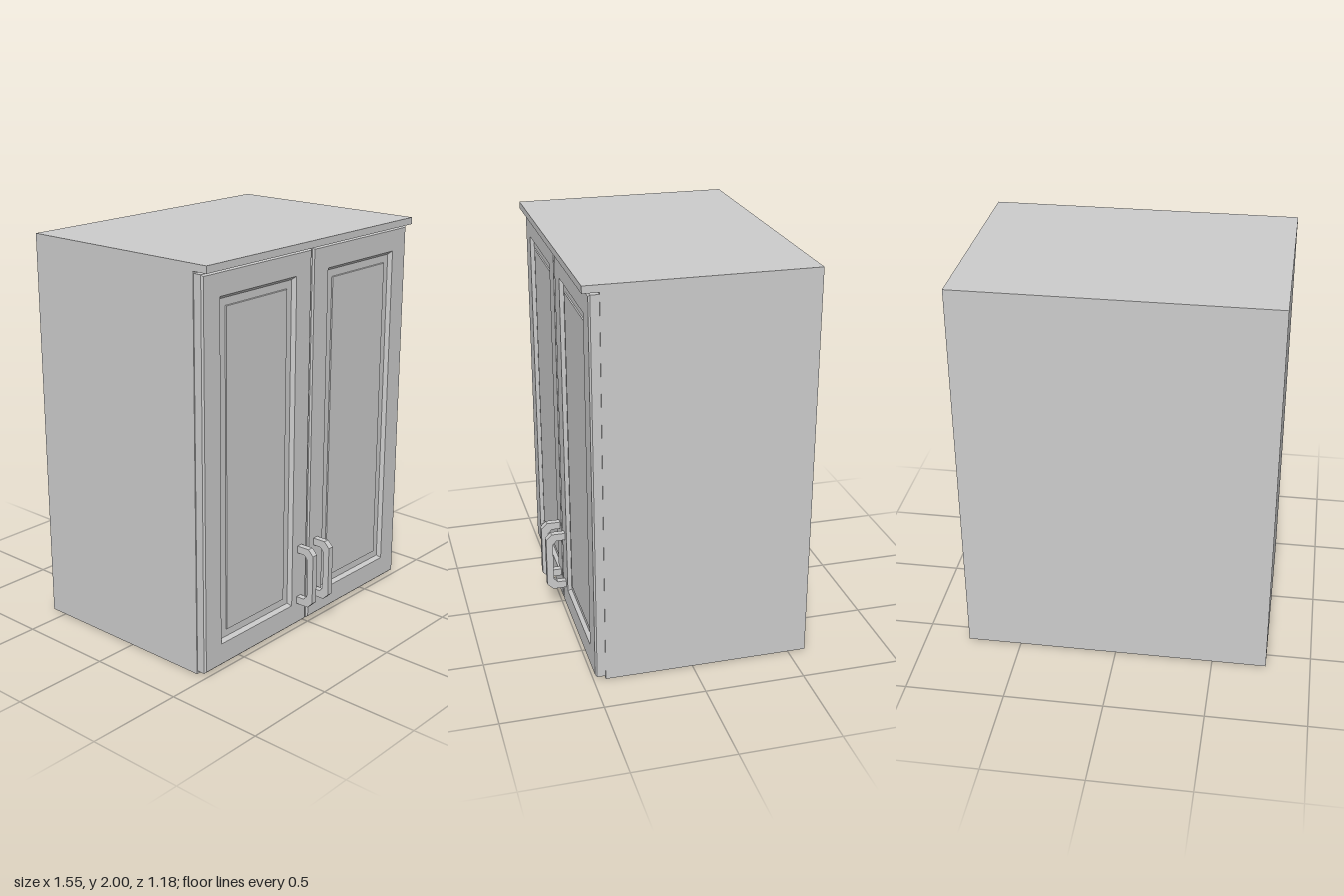
import * as THREE from 'three';

const material = new THREE.MeshStandardMaterial({ color: 0xcccccc, flatShading: true });

function add(parent, name, geometry) {
  const mesh = new THREE.Mesh(geometry, material);
  mesh.name = name;
  parent.add(mesh);
  return mesh;
}

function boxBetween(x0, x1, y0, y1, z0, z1) {
  return new THREE.BoxGeometry(x1 - x0, y1 - y0, z1 - z0)
    .translate((x0 + x1) / 2, (y0 + y1) / 2, (z0 + z1) / 2);
}

// Panelled door: nested rectangles, each [inset from the edge, z], joined by quads
function doorGeometry(width, height, rings) {
  const positions = [];
  const corners = ([inset, z]) => {
    const x = width / 2 - inset, y = height / 2 - inset;
    return [[-x, -y, z], [x, -y, z], [x, y, z], [-x, y, z]];
  };
  const quad = (a, b, c, d) => positions.push(...a, ...b, ...c, ...a, ...c, ...d);
  const loops = rings.map(corners);
  for (let i = 0; i < loops.length - 1; i++) {
    for (let k = 0; k < 4; k++) {
      const n = (k + 1) % 4;
      quad(loops[i][k], loops[i][n], loops[i + 1][n], loops[i + 1][k]);
    }
  }
  quad(...loops[loops.length - 1]);
  quad(...loops[0].slice().reverse());
  const geometry = new THREE.BufferGeometry();
  geometry.setAttribute('position', new THREE.Float32BufferAttribute(positions, 3));
  geometry.computeVertexNormals();
  return geometry;
}

// Bracket handle with chamfered corners, profile points are (z, y)
function handleGeometry() {
  const profile = [
    [0.485, 0.13], [0.56, 0.13], [0.59, 0.16], [0.59, 0.42], [0.56, 0.45], [0.485, 0.45],
    [0.485, 0.412], [0.535, 0.412], [0.555, 0.39], [0.555, 0.19], [0.535, 0.168], [0.485, 0.168],
  ];
  const shape = new THREE.Shape(profile.map(([z, y]) => new THREE.Vector2(z, y)));
  const thickness = 0.032;
  return new THREE.ExtrudeGeometry(shape, { depth: thickness, bevelEnabled: false })
    .rotateY(-Math.PI / 2)
    .translate(thickness / 2, 0, 0);
}

export function createModel() {
  const cabinet = new THREE.Group();
  cabinet.name = 'wallCabinet';

  // Carcass and overhanging top edge
  add(cabinet, 'carcass', boxBetween(-0.775, 0.775, 0, 2, -0.59, 0.44));
  add(cabinet, 'topLip', boxBetween(-0.775, 0.775, 1.965, 2, 0.44, 0.52));

  // Door section: chamfered rim, frame, bevel into the recess, raised field
  const rings = [
    [0, 0.44], [0, 0.482], [0.008, 0.49], [0.115, 0.49],
    [0.131, 0.472], [0.168, 0.472], [0.17, 0.478],
  ];
  const door = doorGeometry(0.765, 1.94, rings);
  const handle = handleGeometry();

  for (const [side, sign] of [['left', 1], ['right', -1]]) {
    add(cabinet, side + 'Door', door).position.set(sign * 0.388, 0.985, 0);
    add(cabinet, side + 'Handle', handle).position.x = sign * 0.065;
  }
  return cabinet;
}
